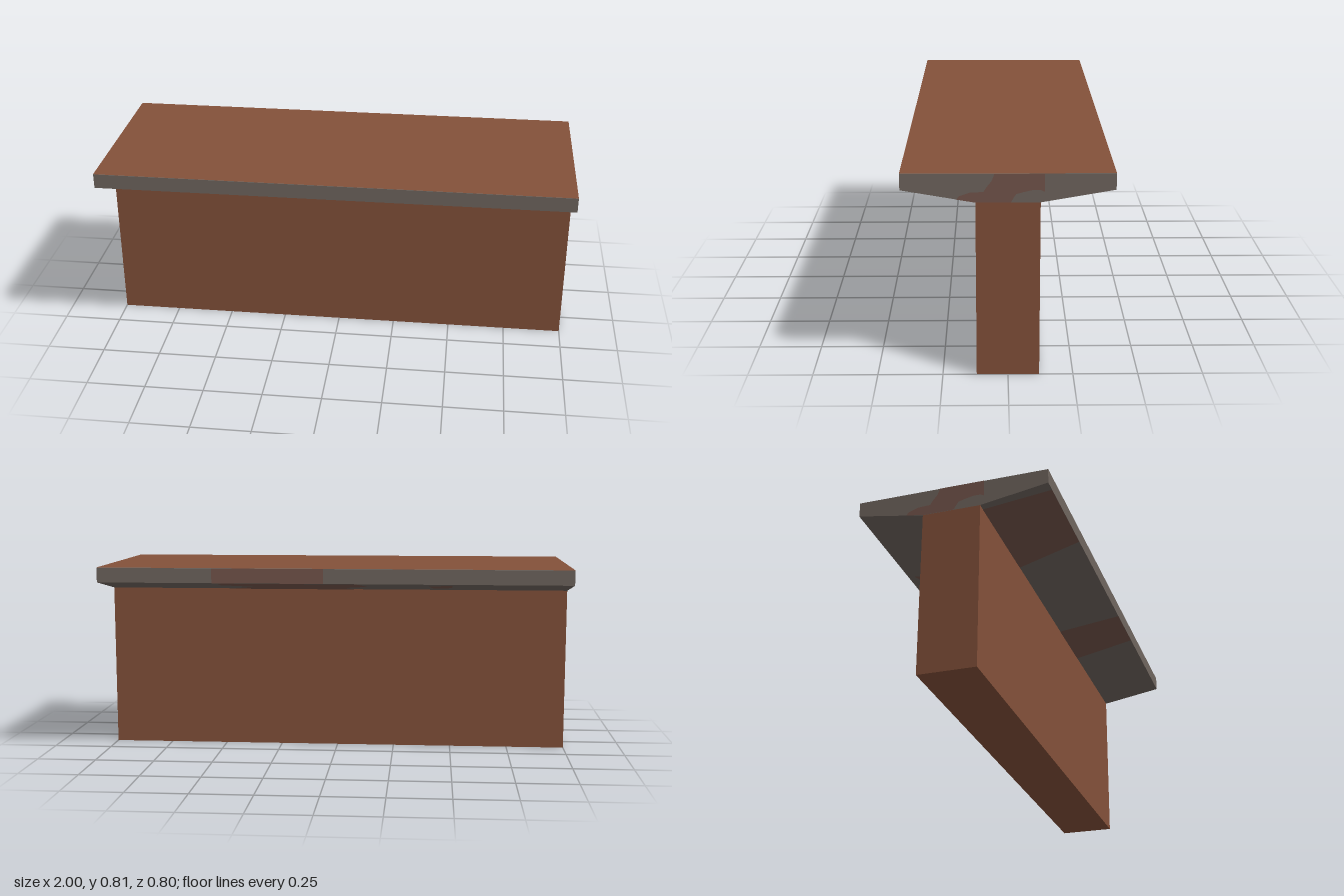
import * as THREE from 'three';

const W = 2, WALL_Z = 0.12, CAP_Z = 0.397, Y0 = 0.697, Y1 = 0.745, Y2 = 0.807;
const LIFT = 0.0015;

function flatShape(points) {
  return new THREE.Shape(points.map(([x, y]) => new THREE.Vector2(x, y)));
}

export function createModel() {
  const brick = new THREE.MeshStandardMaterial({ color: 0x84513a });
  brick.name = 'brick brown';
  const stone = new THREE.MeshStandardMaterial({ color: 0x70665f });
  stone.name = 'stone grey';
  const stain = new THREE.MeshStandardMaterial({ color: 0x75564c });
  stain.name = 'reddish stain';

  const model = new THREE.Group();
  model.name = 'cappedWall';
  const add = (parent, name, geometry, material) => {
    const mesh = new THREE.Mesh(geometry, material);
    mesh.name = name;
    parent.add(mesh);
    return mesh;
  };

  // Wall body
  add(model, 'wall', new THREE.BoxGeometry(W, Y0, 2 * WALL_Z), brick).position.y = Y0 / 2;

  // Coping with sloping undersides, extruded along x
  const profile = flatShape([
    [-WALL_Z, Y0], [WALL_Z, Y0], [CAP_Z, Y1], [CAP_Z, Y2], [-CAP_Z, Y2], [-CAP_Z, Y1],
  ]);
  const coping = new THREE.ExtrudeGeometry(profile, { depth: W, bevelEnabled: false });
  coping.translate(0, 0, -W / 2).rotateY(Math.PI / 2);
  add(model, 'coping', coping, stone);

  // Brown top face
  const top = new THREE.PlaneGeometry(W, 2 * CAP_Z).rotateX(-Math.PI / 2);
  add(model, 'copingTop', top, brick).position.y = Y2 + LIFT;

  // Stains on both ends
  const endStain = flatShape([
    [-0.12, Y0], [0.01, Y0], [0.02, 0.715], [0.03, 0.73], [0.06, 0.738], [0.09, 0.745],
    [0.12, 0.745], [0.135, 0.738], [0.135, Y2], [-0.05, Y2], [-0.06, 0.78],
    [-0.08, 0.755], [-0.09, 0.738], [-0.14, 0.736], [-0.18, 0.722], [-0.19, 0.709],
  ]);
  for (const side of [1, -1]) {
    const mesh = add(model, side > 0 ? 'leftEndStain' : 'rightEndStain', new THREE.ShapeGeometry(endStain), stain);
    mesh.rotation.y = side * Math.PI / 2;
    mesh.position.x = side * (W / 2 + LIFT);
  }

  // Stains on the sloping undersides: shape y runs outwards from the wall
  const slope = Math.atan2(Y1 - Y0, CAP_Z - WALL_Z);
  const run = Math.hypot(Y1 - Y0, CAP_Z - WALL_Z);
  const undersideStain = (parent, name, points) => {
    const mesh = add(parent, name, new THREE.ShapeGeometry(flatShape(points)), stain);
    mesh.rotation.x = Math.PI / 2 - slope;
    mesh.position.set(0, Y0 - LIFT, WALL_Z);
  };
  undersideStain(model, 'frontUndersideStain', [[-0.97, 0], [-0.5, 0], [-0.55, run], [-0.95, run]]);
  undersideStain(model, 'frontUndersideStain', [[0.12, 0], [0.42, 0], [0.4, run], [0.14, run]]);

  // Back side stains, drawn facing forward then turned round
  const back = new THREE.Group();
  back.name = 'backStains';
  back.rotation.y = Math.PI;
  model.add(back);
  undersideStain(back, 'backUndersideStain', [
    [-0.47, 0], [0.08, 0], [0.04, 0.09], [0.14, 0.16], [0.1, run], [-0.47, run], [-0.5, 0.2], [-0.36, 0.12],
  ]);
  undersideStain(back, 'backSmallStain', [[0.42, 0.1], [0.5, 0.12], [0.5, 0.25], [0.4, 0.2]]);
  const edge = flatShape([[-0.51, Y1], [-0.04, Y1], [-0.04, Y2], [-0.51, Y2]]);
  add(back, 'backEdgeStain', new THREE.ShapeGeometry(edge), stain).position.z = CAP_Z + LIFT;

  return model;
}
